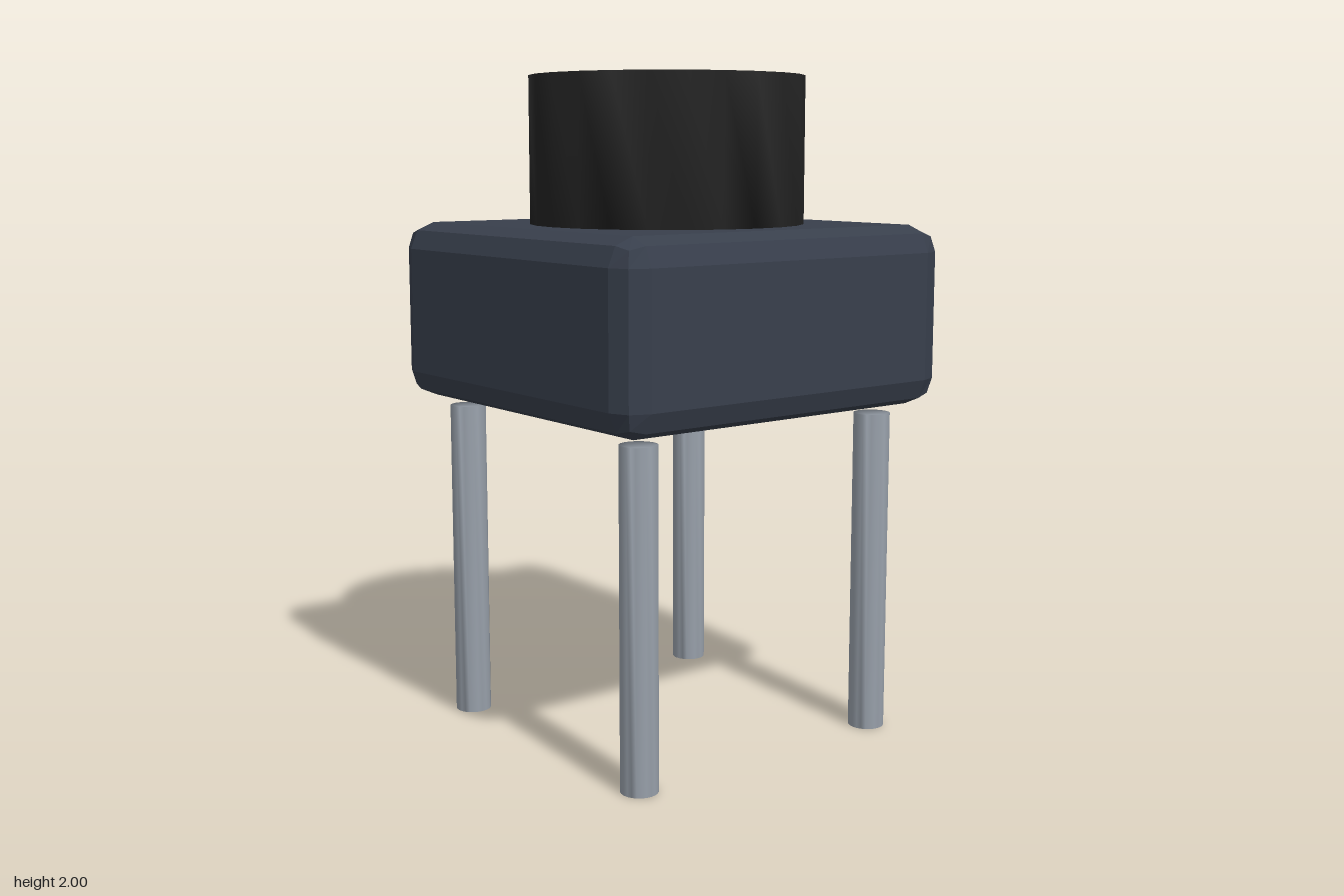
import * as THREE from 'three';
import { mergeVertices } from 'three/addons/utils/BufferGeometryUtils.js';
import { RoundedBoxGeometry } from 'three/addons/geometries/RoundedBoxGeometry.js';

const bodyBlue = new THREE.MeshStandardMaterial({ name: 'slateBody', color: 0x383f4c, flatShading: true });
const capBlack = new THREE.MeshStandardMaterial({ name: 'blackCap', color: 0x232323 });
const pinGrey = new THREE.MeshStandardMaterial({ name: 'greyPin', color: 0x98a0aa });

// Upright 24-sided prism with normals smoothed right over its rims
function smoothPrism(radius, bottom, top, sides = 24) {
  const points = [];
  for (let i = 0; i < sides; i++) {
    const a = (i / sides) * Math.PI * 2;
    points.push(new THREE.Vector2(Math.cos(a) * radius, Math.sin(a) * radius));
  }
  let geometry = new THREE.ExtrudeGeometry(new THREE.Shape(points), {
    depth: top - bottom, bevelEnabled: false, steps: 1,
  });
  geometry.deleteAttribute('normal');
  geometry.deleteAttribute('uv');
  geometry = mergeVertices(geometry, 1e-4);
  geometry.rotateX(-Math.PI / 2);
  geometry.translate(0, bottom, 0);
  geometry.clearGroups();
  geometry.computeVertexNormals();
  return geometry;
}

export function createModel() {
  const model = new THREE.Group();
  model.name = 'pushButton';

  const add = (name, geometry, material) => {
    const mesh = new THREE.Mesh(geometry, material);
    mesh.name = name;
    model.add(mesh);
    return mesh;
  };

  // Chamfered square housing
  add('housing', new RoundedBoxGeometry(1.19, 0.54, 1.19, 1, 0.08), bodyBlue).position.y = 1.29;

  // Round plunger
  add('plunger', smoothPrism(0.415, 1.55, 2), capBlack);

  // Four round pins, stopping just below the housing
  const pin = smoothPrism(0.055, 0, 0.99);
  for (const [x, side] of [[0.445, 'Left'], [-0.445, 'Right']]) {
    for (const [z, end] of [[0.445, 'front'], [-0.445, 'back']]) {
      add(`${end}${side}Pin`, pin, pinGrey).position.set(x, 0, z);
    }
  }

  return model;
}
